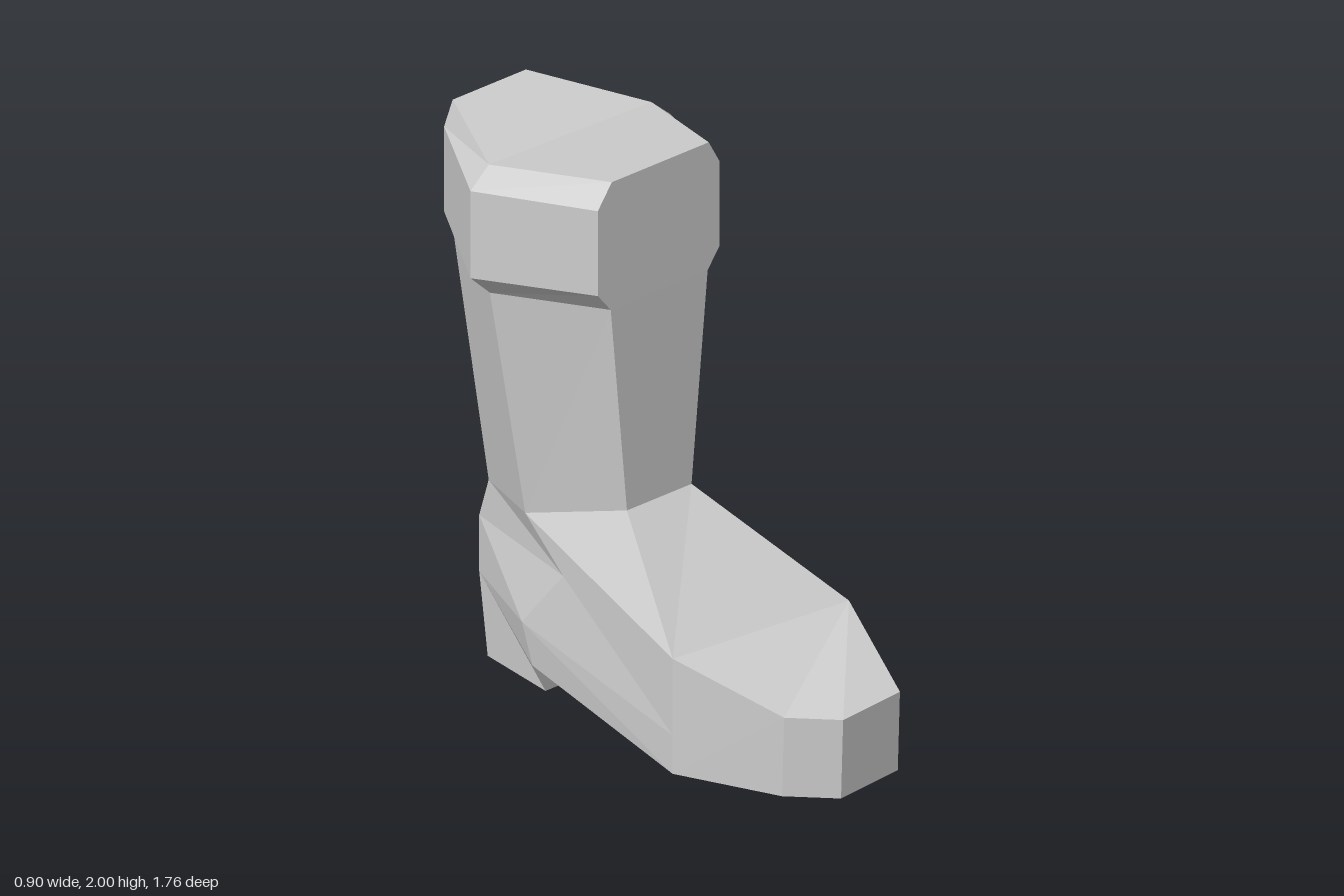
import * as THREE from 'three';

const grey = new THREE.MeshStandardMaterial({ color: 0xcccccc });
grey.name = 'grey leather';

// Flat-shaded mesh from convex polygons, each a list of [x, y, z] corners
function polyMesh(name, polys) {
  const pos = [];
  for (const p of polys)
    for (let i = 1; i < p.length - 1; i++) pos.push(...p[0], ...p[i], ...p[i + 1]);
  const geo = new THREE.BufferGeometry();
  geo.setAttribute('position', new THREE.Float32BufferAttribute(pos, 3));
  geo.computeVertexNormals();
  const mesh = new THREE.Mesh(geo, grey);
  mesh.name = name;
  return mesh;
}

// Walls between consecutive rings, listed from bottom to top
function walls(rings, closed = true) {
  const polys = [];
  for (let r = 0; r < rings.length - 1; r++) {
    const lo = rings[r], hi = rings[r + 1], n = lo.length;
    for (let i = 0; i < (closed ? n : n - 1); i++) {
      const j = (i + 1) % n;
      polys.push([lo[i], lo[j], hi[j], hi[i]]);
    }
  }
  return polys;
}

// Six-sided ring: front right, front left, left side, back left, back right, right side
function hexRing(front, side, back, yFront, ySide, yBack, z) {
  return [
    [front[0], yFront, z[0]], [front[1], yFront, z[0]],
    [side, ySide, z[1]], [back[1], yBack, z[2]],
    [back[0], yBack, z[2]], [-side, ySide, z[1] - z[3]],
  ];
}

export function createModel() {
  const boot = new THREE.Group();
  boot.name = 'boot';

  // Shaft and cuff rings
  const zTop = [-0.045, -0.475, -0.88, 0.025];
  const ankle = hexRing([-0.165, 0.135], 0.245, [-0.14, 0.14], 0.775, 0.66, 0.655, [-0.05, -0.45, -0.73, 0]);
  const neck = hexRing([-0.245, 0.205], 0.36, [-0.16, 0.18], 1.535, 1.485, 1.535, zTop);
  const cuffLow = hexRing([-0.305, 0.26], 0.45, [-0.2, 0.23], 1.605, 1.567, 1.605, zTop);
  const cuffHigh = hexRing([-0.305, 0.26], 0.45, [-0.2, 0.23], 1.915, 1.885, 1.915, zTop);
  const rim = hexRing([-0.24, 0.21], 0.365, [-0.16, 0.18], 2, 1.955, 2, zTop);
  boot.add(polyMesh('shaft', walls([ankle, neck])));
  boot.add(polyMesh('cuff', [
    ...walls([neck, cuffLow, cuffHigh, rim]),
    // Shallow folded top
    [rim[0], rim[1], rim[2], rim[5]],
    [rim[5], rim[2], rim[3], rim[4]],
  ]));

  // Foot points as [right, left] pairs
  const pair = (x, y, z) => [[-x, y, z], [x, y, z]];
  const wide = (y) => [[-0.34, y, 0.345], [0.4, y, 0.425]];
  const instep = [ankle[0], ankle[1]];
  const ankleSide = [ankle[5], ankle[2]];
  const ankleBack = [ankle[4], ankle[3]];
  const ballTop = wide(0.42), ballMid = wide(0.14), ballLow = wide(0);
  const midTop = pair(0.27, 0.505, -0.245);
  const midLow = pair(0.28, 0.28, -0.43);
  const arch = pair(0.27, 0.13, -0.39);
  const heelTop = pair(0.13, 0.505, -0.785);
  const heelMid = pair(0.13, 0.3, -0.785);
  const heelFront = pair(0.19, 0.005, -0.41);
  const heelBase = pair(0.125, 0, -0.75);

  const foot = [];
  // Side panels, mirrored with reversed winding
  const panels = [
    [instep, ballTop, midTop, ankleSide],
    [ankleSide, midTop, heelTop, ankleBack],
    [ballTop, ballMid, midLow, midTop],
    [midTop, midLow, heelMid, heelTop],
    [ballMid, ballLow, arch, midLow],
    [midLow, arch, heelFront, heelBase, heelMid],
  ];
  for (const p of panels) {
    foot.push(p.map((c) => c[1]));
    foot.push(p.map((c) => c[0]).reverse());
  }
  // Instep, then sole, heel and back as strips across the width
  const strip = (chain) => {
    for (let i = 0; i < chain.length - 1; i++) {
      const a = chain[i], b = chain[i + 1];
      foot.push([b[0], b[1], a[1], a[0]]);
    }
  };
  strip([instep, ballTop]);
  strip([ballLow, arch, heelFront, heelBase, heelMid, heelTop, ankleBack]);
  boot.add(polyMesh('foot', foot));

  // Toe cap
  const tip = (y, dz) => [[-0.205, y, 0.735 - dz], [-0.078, y, 0.885 - dz], [0.213, y, 0.857 - dz]];
  const toeTop = [ballTop[0], ...tip(0.29, 0), ballTop[1]];
  const toeLow = [ballLow[0], ...tip(0, 0.01), ballLow[1]];
  boot.add(polyMesh('toe', [
    ...walls([toeLow, toeTop], false),
    [toeTop[4], toeTop[0], toeTop[1], toeTop[2], toeTop[3]],
    [...toeLow].reverse(),
  ]));

  return boot;
}
